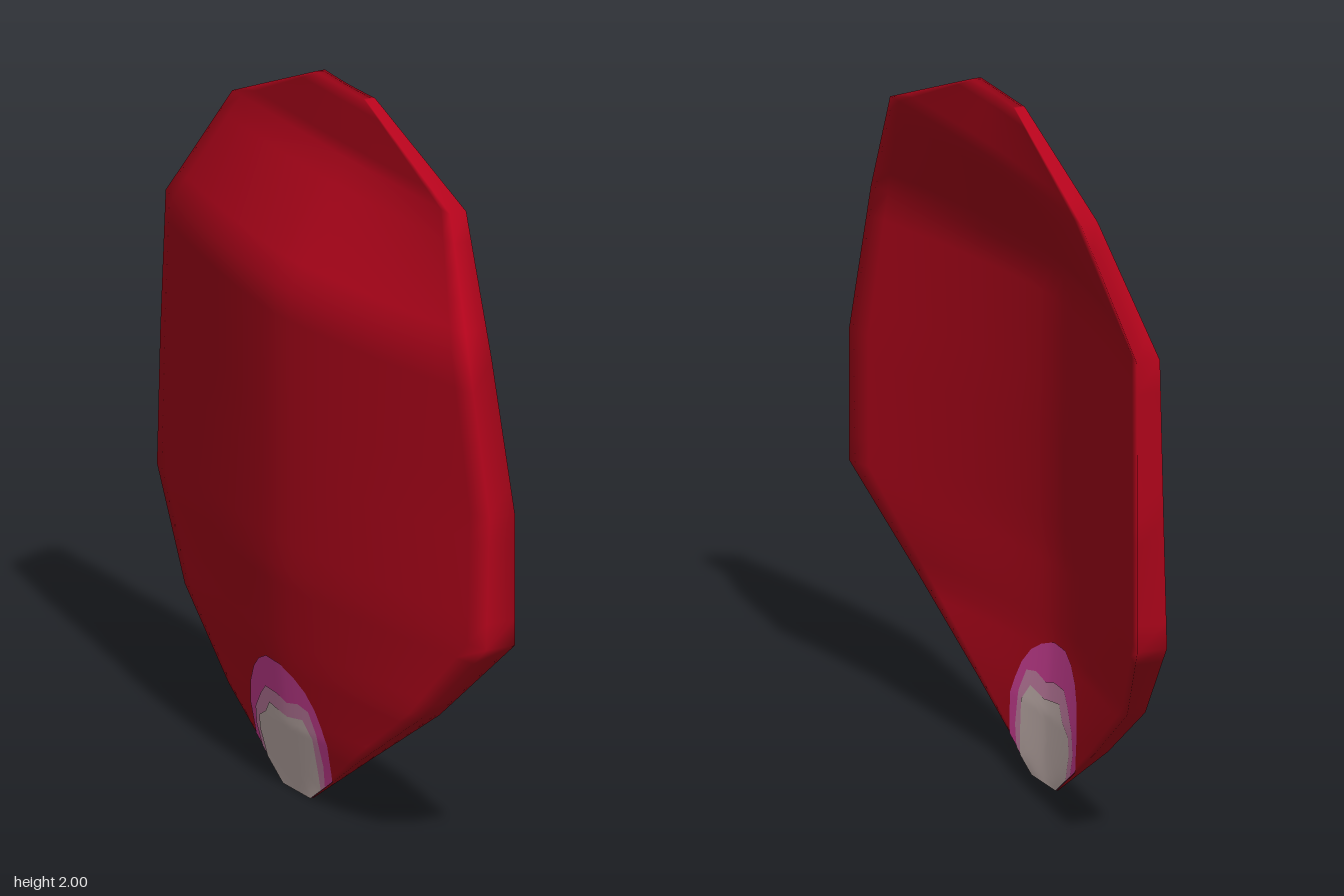
import * as THREE from 'three';

// Rows: height, +z edge, -z edge, inner rim x, inner middle x, outer rim x, outer middle x
const ROWS = [
  [0.0, 0.06, -0.09, -0.049, -0.049, -0.052, -0.052],
  [0.2, 0.35, -0.385, -0.02, -0.055, -0.06, -0.088],
  [0.4, 0.64, -0.66, 0.015, -0.075, -0.04, -0.11],
  [0.665, 0.905, -0.9, 0.1, -0.085, 0.01, -0.13],
  [1.04, 0.905, -0.9, 0.1, -0.08, 0.02, -0.13],
  [1.47, 0.83, -0.835, 0.07, -0.08, 0.0, -0.13],
  [1.81, 0.585, -0.61, 0.13, 0.11, 0.08, 0.07],
  [2.0, 0.12, -0.155, 0.11, 0.105, 0.08, 0.08],
];
const COLUMNS = 24, STEPS = 5;

// Outline and depth values at any height
function rowAt(y) {
  let i = 0;
  while (i < ROWS.length - 2 && y > ROWS[i + 1][0]) i++;
  const a = ROWS[i], b = ROWS[i + 1];
  const t = (y - a[0]) / (b[0] - a[0]);
  return a.map((v, k) => v + (b[k] - v) * t);
}

// Cupped surface: inner side faces +x, outer side faces -x
function depthAt(row, u, inner) {
  const [rim, middle] = inner ? [row[3], row[4]] : [row[5], row[6]];
  return middle + (rim - middle) * Math.pow(Math.abs(u), 1.5);
}

function makeGeometry(points, index) {
  const g = new THREE.BufferGeometry();
  g.setAttribute('position', new THREE.Float32BufferAttribute(points, 3));
  g.setIndex(index);
  g.computeVertexNormals();
  return g;
}

// Petal blade: closed loops round both sides and the rim, one per height
function bladeGeometry() {
  const points = [], index = [], loop = 2 * (COLUMNS + 1);
  const total = (ROWS.length - 1) * STEPS;
  for (let r = 0; r <= total; r++) {
    const i = Math.min(Math.floor(r / STEPS), ROWS.length - 2);
    const y = ROWS[i][0] + (ROWS[i + 1][0] - ROWS[i][0]) * (r / STEPS - i);
    const row = rowAt(y);
    for (let k = 0; k < loop; k++) {
      const inner = k <= COLUMNS;
      const c = inner ? k : loop - 1 - k;
      const u = 2 * c / COLUMNS - 1;
      const z = row[2] + (row[1] - row[2]) * (u + 1) / 2;
      points.push(depthAt(row, u, inner), y, z);
    }
  }
  for (let r = 0; r < total; r++) {
    for (let k = 0; k < loop; k++) {
      const a = r * loop + k, b = r * loop + (k + 1) % loop;
      index.push(a, a + loop, b, b, a + loop, b + loop);
    }
  }
  // Top edge
  for (let c = 0; c < COLUMNS; c++) {
    const s = total * loop + c, t = total * loop + loop - 1 - c;
    index.push(s, t, s + 1, s + 1, t, t - 1);
  }
  return makeGeometry(points, index);
}

// Painted patch that follows one side of the blade, from a [z, y] outline
function patchGeometry(outline, inner, lift) {
  const points = [], index = [], edge = [], rings = 10, split = 4;
  const centre = [-0.03, 0.12];
  outline.forEach((p, i) => {
    const q = outline[(i + 1) % outline.length];
    for (let s = 0; s < split; s++) {
      edge.push([p[0] + (q[0] - p[0]) * s / split, p[1] + (q[1] - p[1]) * s / split]);
    }
  });
  const n = edge.length;
  for (let r = 0; r <= rings; r++) {
    for (const e of edge) {
      const z = centre[0] + (e[0] - centre[0]) * r / rings;
      const y = centre[1] + (e[1] - centre[1]) * r / rings;
      const row = rowAt(y);
      const u = THREE.MathUtils.clamp(2 * (z - row[2]) / (row[1] - row[2]) - 1, -1, 1);
      points.push(depthAt(row, u, inner) + (inner ? lift : -lift), y, z);
    }
  }
  for (let r = 0; r < rings; r++) {
    for (let i = 0; i < n; i++) {
      const a = r * n + i, b = r * n + (i + 1) % n, c = a + n, d = b + n;
      if (inner) {
        if (r) index.push(a, b, c);
        index.push(b, d, c);
      } else {
        if (r) index.push(a, c, b);
        index.push(b, c, d);
      }
    }
  }
  return makeGeometry(points, index);
}

function material(name, color) {
  const m = new THREE.MeshStandardMaterial({ color });
  m.name = name;
  return m;
}

export function createModel() {
  const group = new THREE.Group();
  group.name = 'petal';
  const add = (name, geometry, mat) => {
    const mesh = new THREE.Mesh(geometry, mat);
    mesh.name = name;
    group.add(mesh);
  };

  add('petalBlade', bladeGeometry(), material('crimson', 0xb6041c));

  // Nested colour bands at the base, on both sides
  const bands = [
    ['pinkBand', material('pink', 0xdc44a0), [
      [0.06, 0], [0.18, 0.083], [0.185, 0.2], [0.165, 0.25], [0.14, 0.3], [0.1, 0.345], [0.05, 0.375],
      [-0.02, 0.4], [-0.1, 0.4], [-0.15, 0.375], [-0.19, 0.335], [-0.22, 0.28], [-0.236, 0.2],
      [-0.236, 0.1], [-0.09, 0]]],
    ['paleBand', material('pale pink', 0xd88cb4), [
      [0.06, 0], [0.14, 0.055], [0.15, 0.12], [0.14, 0.22], [0.11, 0.285], [0.06, 0.295], [0, 0.28],
      [-0.05, 0.295], [-0.12, 0.295], [-0.155, 0.26], [-0.2, 0.2], [-0.215, 0.14], [-0.2, 0.075], [-0.09, 0]]],
    ['creamBase', material('cream', 0xd8c4c0), [
      [0.06, 0], [0.12, 0.041], [0.12, 0.2], [0.08, 0.25], [0, 0.235], [-0.1, 0.25], [-0.13, 0.21],
      [-0.18, 0.18], [-0.19, 0.13], [-0.17, 0.054], [-0.09, 0]]],
  ];
  bands.forEach(([name, mat, outline], i) => {
    const lift = 0.002 * (i + 1);
    // The bands stop a little lower on the outer side
    const lower = outline.map(([z, y]) => [z, y > 0.12 ? 0.12 + (y - 0.12) * 0.9 : y]);
    add(name + 'Inner', patchGeometry(outline, true, lift), mat);
    add(name + 'Outer', patchGeometry(lower, false, lift), mat);
  });
  return group;
}
